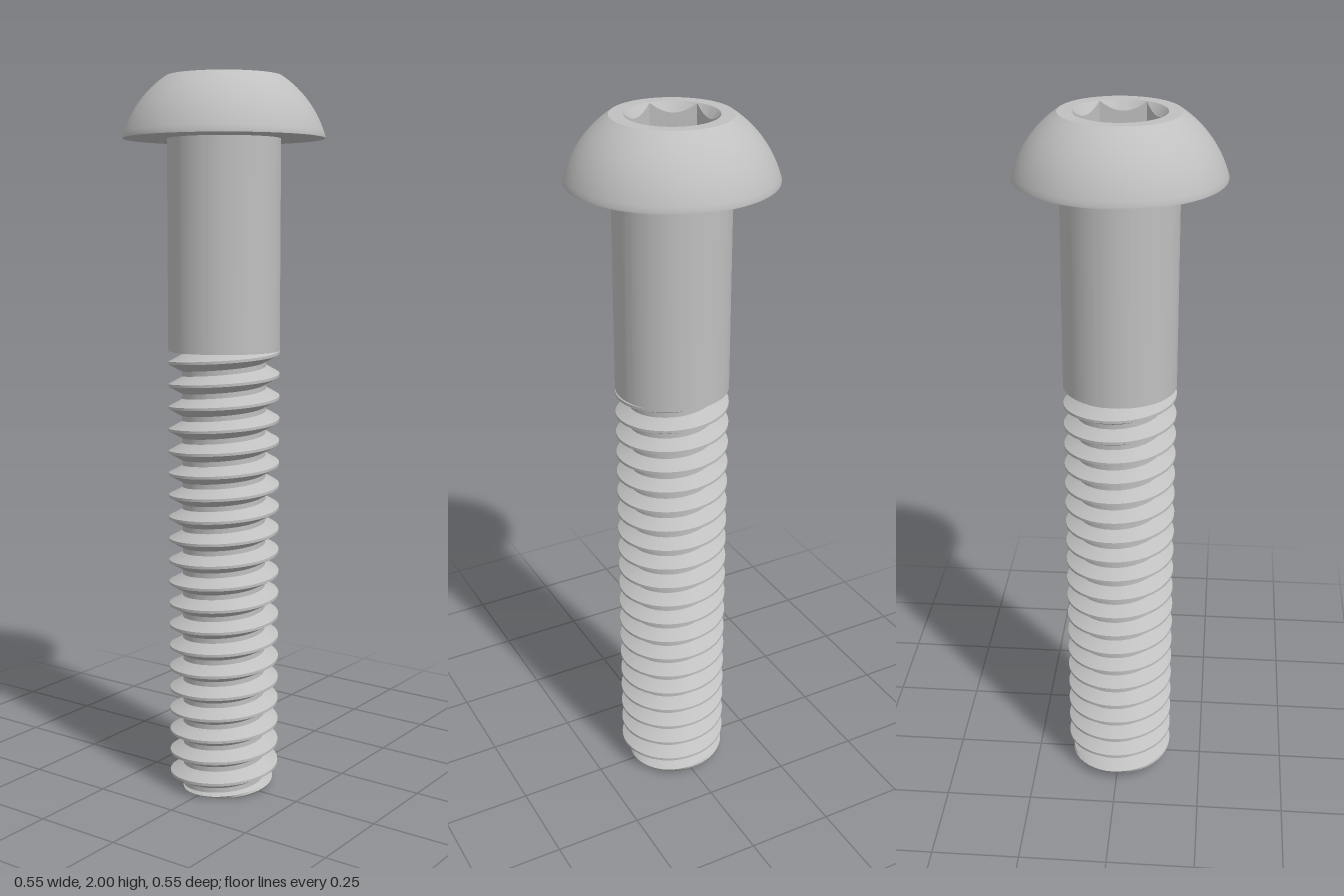
import * as THREE from 'three';
import { toCreasedNormals } from 'three/addons/utils/BufferGeometryUtils.js';

const SEG = 96;
const SHANK_R = 0.155, ROOT_R = 0.117, PITCH = 0.0625;
const THREAD_TOP = 1.26, HEAD_BASE = 1.835, TOP = 2;

// Skins a surface around the y axis from a profile [[r, y], ...] that may vary with the angle
function sweepAround(profileAt) {
  const columns = [];
  for (let i = 0; i <= SEG; i++) {
    const t = (i / SEG) * Math.PI * 2;
    columns.push(profileAt(t).map(([r, y]) => new THREE.Vector3(r * Math.cos(t), y, -r * Math.sin(t))));
  }
  const pos = [];
  const tri = new THREE.Triangle();
  const addFace = (a, b, c) => {
    if (tri.set(a, b, c).getArea() > 1e-9) for (const p of [a, b, c]) pos.push(p.x, p.y, p.z);
  };
  for (let i = 0; i < SEG; i++) {
    const p = columns[i], q = columns[i + 1];
    for (let j = 0; j < p.length - 1; j++) {
      addFace(p[j], q[j], q[j + 1]);
      addFace(p[j], q[j + 1], p[j + 1]);
    }
  }
  const geo = new THREE.BufferGeometry();
  geo.setAttribute('position', new THREE.Float32BufferAttribute(pos, 3));
  return toCreasedNormals(geo, 0.5);
}

// Thread radius: 60 degree flanks with a narrow crest and root, chamfered at the tip
function threadRadius(y, t) {
  const phase = y / PITCH - t / (Math.PI * 2);
  const f = Math.abs(phase - Math.round(phase)); // 0 at crest, 0.5 at root
  const k = THREE.MathUtils.clamp((f - 0.06) / (0.39 - 0.06), 0, 1);
  return Math.min(THREE.MathUtils.lerp(SHANK_R, ROOT_R, k), 0.125 + y * 0.9);
}

function threadProfile(t) {
  const steps = [-0.39, -0.28, -0.17, -0.06, 0.06, 0.17, 0.28, 0.39];
  const points = [[0, 0]];
  const turns = Math.ceil(THREAD_TOP / PITCH) + 1;
  for (let n = -2; n <= turns; n++) {
    for (const s of steps) {
      const y = THREE.MathUtils.clamp((n + s + t / (Math.PI * 2)) * PITCH, 0, THREAD_TOP);
      points.push([threadRadius(y, t), y]);
    }
  }
  return points;
}

// Hexagonal recess with a conical lead-in, corners on the z axis
function socketProfile(t) {
  const rim = 0.121, apothem = 0.104, sector = Math.PI / 3;
  const off = t - Math.round(t / sector) * sector;
  const r = apothem / Math.cos(off);
  const floor = TOP - 0.108;
  return [[rim, TOP], [r, TOP - (rim - r) * 1.5], [r, floor], [0, floor]];
}

// Button head: underside, domed side, flat top ring
function headProfile() {
  const points = [[0.14, HEAD_BASE], [0.275, HEAD_BASE], [0.275, HEAD_BASE + 0.005]];
  const centreY = 1.761, radius = 0.286;
  const a0 = Math.asin((1.84 - centreY) / radius), a1 = Math.asin((TOP - centreY) / radius);
  for (let i = 1; i <= 16; i++) {
    const a = THREE.MathUtils.lerp(a0, a1, i / 16);
    points.push([radius * Math.cos(a), centreY + radius * Math.sin(a)]);
  }
  points.push([0.121, TOP]);
  return points;
}

export function createModel() {
  const steel = new THREE.MeshStandardMaterial({ color: 0xc0c0c0 });
  steel.name = 'steel grey';

  const group = new THREE.Group();
  group.name = 'bolt';
  const add = (name, profileAt) => {
    const mesh = new THREE.Mesh(sweepAround(profileAt), steel);
    mesh.name = name;
    group.add(mesh);
  };

  add('head', headProfile);
  add('hexSocket', socketProfile);
  add('shank', () => [[0.11, THREAD_TOP], [SHANK_R, THREAD_TOP], [SHANK_R, HEAD_BASE]]);
  add('thread', threadProfile);
  return group;
}
